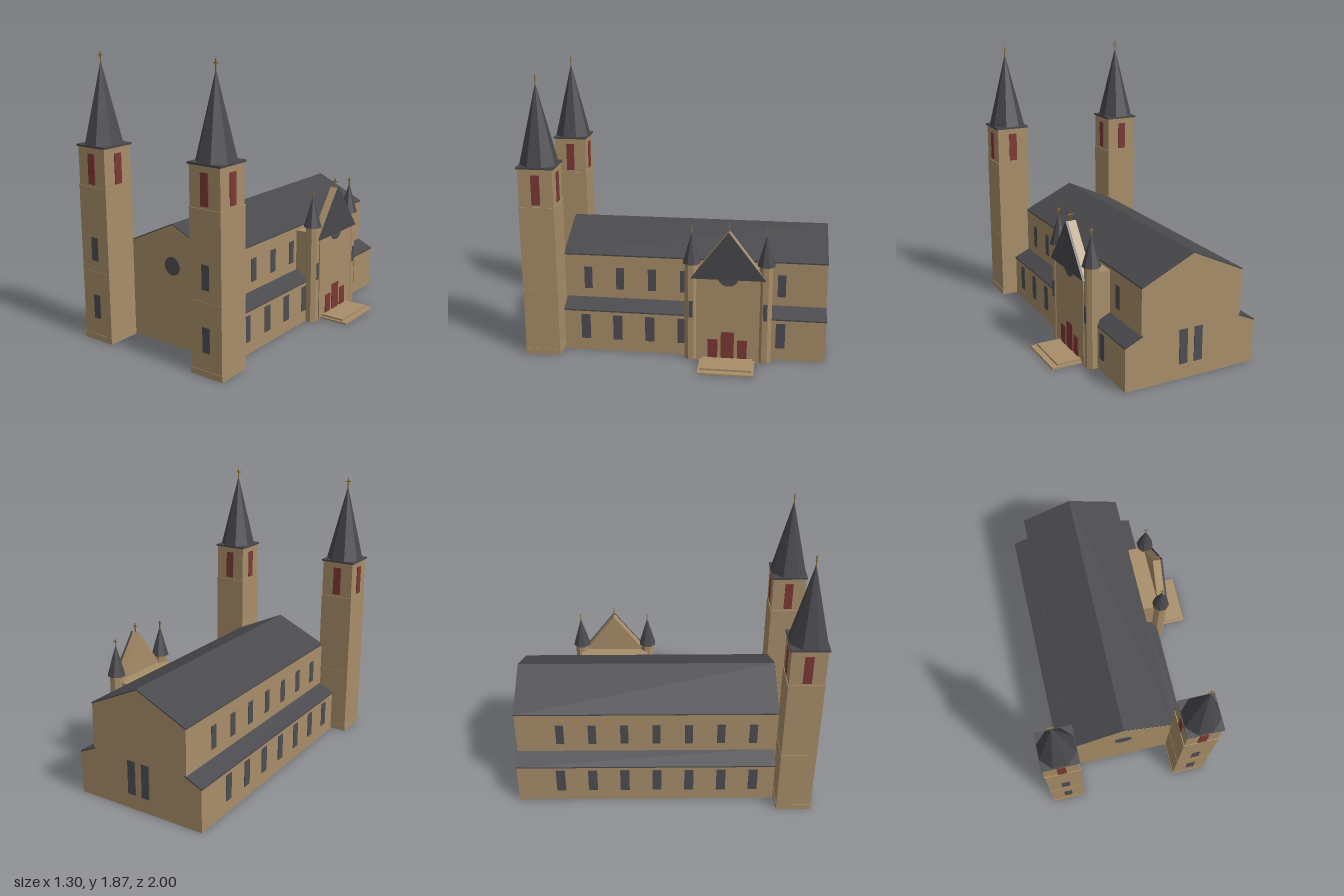
import * as THREE from 'three';

const material = (name, color) => {
  const m = new THREE.MeshStandardMaterial({ color });
  m.name = name;
  return m;
};

export function createModel() {
  const stone = material('sandstone', 0xa88e69);
  const slate = material('slate', 0x49484c);
  const glass = material('windowGlass', 0x4e4e53);
  const red = material('redWood', 0x7d3935);
  const gold = material('gold', 0x8f6f38);
  const model = new THREE.Group();
  model.name = 'church';
  const CX = -0.0785; // centre line of the nave

  const add = (parent, name, geo, mat, x = 0, y = 0, z = 0) => {
    const mesh = new THREE.Mesh(geo, mat);
    mesh.name = name;
    mesh.position.set(x, y, z);
    parent.add(mesh);
    return mesh;
  };
  // Box given by its minimum and maximum on each axis
  const box = (parent, name, mat, x0, x1, y0, y1, z0, z1) =>
    add(parent, name, new THREE.BoxGeometry(x1 - x0, y1 - y0, z1 - z0), mat,
      (x0 + x1) / 2, (y0 + y1) / 2, (z0 + z1) / 2);
  // Cross-section in x and y, extruded from z0 to z1
  const prism = (parent, name, mat, pts, z0, z1) => {
    const shape = new THREE.Shape(pts.map(p => new THREE.Vector2(p[0], p[1])));
    return add(parent, name, new THREE.ExtrudeGeometry(shape, { depth: z1 - z0, bevelEnabled: false }), mat, 0, 0, z0);
  };
  // Octagonal shaft or spire with flat sides facing the axes
  const octagon = (parent, name, mat, rTop, rBottom, y0, y1, x, z) => {
    const geo = new THREE.CylinderGeometry(rTop, rBottom, y1 - y0, 8).rotateY(Math.PI / 8).toNonIndexed();
    geo.computeVertexNormals();
    return add(parent, name, geo, mat, x, (y0 + y1) / 2, z);
  };
  const cross = (parent, x, y, z, h) => {
    const g = new THREE.Group();
    g.name = 'cross';
    g.position.set(x, y, z);
    parent.add(g);
    box(g, 'crossPost', gold, -0.003, 0.003, -0.01, h, -0.003, 0.003);
    box(g, 'crossBar', gold, -h * 0.28, h * 0.28, h * 0.6, h * 0.6 + 0.006, -0.003, 0.003);
  };

  // Nave with gabled roof
  const W = 0.3535, EAVE = 0.645, RIDGE = 0.81;
  prism(model, 'naveWalls', stone, [[CX - W, 0], [CX + W, 0], [CX + W, EAVE], [CX, RIDGE], [CX - W, EAVE]], -0.995, 0.77);
  const T = 0.007;
  prism(model, 'naveRoof', slate, [
    [CX - W - 0.002, EAVE - 0.002], [CX, RIDGE], [CX + W + 0.002, EAVE - 0.002],
    [CX + W + 0.002, EAVE + T], [CX, RIDGE + T], [CX - W - 0.002, EAVE + T]], -0.998, 0.768);

  // Side aisles with lean-to roofs and two rows of windows
  for (const s of [-1, 1]) {
    const inner = CX + s * (W - 0.01), outer = CX + s * 0.462;
    const order = pts => (s > 0 ? pts : pts.reverse());
    prism(model, 'aisleWalls', stone, order([[inner, 0], [outer, 0], [outer, 0.285], [inner, 0.338]]), -0.995, 0.75);
    prism(model, 'aisleRoof', slate, order([
      [inner, 0.338], [outer + s * 0.003, 0.283], [outer + s * 0.003, 0.292], [inner, 0.347]]), -0.998, 0.753);
    for (let i = 0; i < 7; i++) {
      const z = 0.605 - i * 0.2175;
      if (s > 0 && (i === 4 || i === 5)) continue; // covered by the porch
      const xl = CX + s * 0.462, xu = CX + s * W;
      box(model, 'aisleWindow', glass, xl - 0.004, xl + 0.004, 0.085, 0.26, z - 0.031, z + 0.031);
      box(model, 'clerestoryWindow', glass, xu - 0.004, xu + 0.004, 0.405, 0.56, z - 0.027, z + 0.027);
    }
  }

  // Rose window in front, pair of windows at the back
  add(model, 'roseWindow', new THREE.CylinderGeometry(0.061, 0.061, 0.008, 32).rotateX(Math.PI / 2), glass, CX, 0.54, 0.77);
  for (const s of [-1, 1]) {
    const x = CX + 0.005 + s * 0.053;
    box(model, 'backWindow', glass, x - 0.029, x + 0.029, 0.1, 0.33, -0.999, -0.991);
  }

  // Twin front towers
  for (const s of [-1, 1]) {
    const tower = new THREE.Group();
    tower.name = s > 0 ? 'leftTower' : 'rightTower';
    tower.position.set(CX + s * 0.4535, 0, 0.88);
    model.add(tower);
    const block = (name, mat, h, y0, y1) => box(tower, name, mat, -h, h, y0, y1, -h, h);
    block('towerPlinth', stone, 0.119, 0, 0.04);
    block('towerShaft', stone, 0.116, 0.04, 1.025);
    block('towerBand', stone, 0.118, 0.462, 0.472);
    block('towerLedge', stone, 0.118, 1.02, 1.032);
    block('belfry', stone, 0.113, 1.03, 1.285);
    block('spireBase', slate, 0.121, 1.283, 1.296);
    octagon(tower, 'spire', slate, 0.001, 0.127, 1.296, 1.81, 0, 0);
    cross(tower, 0, 1.805, 0, 0.065);
    for (let i = 0; i < 4; i++) {
      const side = new THREE.Group();
      side.name = 'belfrySide';
      side.rotation.y = i * Math.PI / 2;
      tower.add(side);
      box(side, 'belfryLouvre', red, -0.028, 0.028, 1.048, 1.245, 0.111, 0.119);
    }
    for (const [y0, y1] of [[0.155, 0.315], [0.547, 0.702]])
      box(tower, 'towerWindow', glass, -0.028, 0.028, y0, y1, 0.112, 0.119);
  }

  // Side porch
  const porch = new THREE.Group();
  porch.name = 'porch';
  porch.position.z = -0.355;
  model.add(porch);
  box(porch, 'porchBody', stone, 0.265, 0.41, 0, 0.625, -0.242, 0.242);
  box(porch, 'porchFront', stone, 0.40, 0.445, 0, 0.6, -0.207, 0.207);

  // Triangular gable: stone behind, slate facing in front
  const gable = (name, mat, x0, x1) => {
    const m = prism(porch, name, mat, [[-0.242, 0.585], [0.242, 0.585], [0, 0.902]], 0, x1 - x0);
    m.rotation.y = Math.PI / 2;
    m.position.x = x0;
  };
  gable('gableBack', stone, 0.395, 0.45);
  gable('gableFace', slate, 0.45, 0.466);
  cross(porch, 0.43, 0.90, 0, 0.065);
  add(porch, 'porchRoseWindow', new THREE.CylinderGeometry(0.07, 0.07, 0.008, 32).rotateZ(Math.PI / 2), glass, 0.445, 0.603, 0);

  // Corner turrets
  for (const s of [-1, 1]) {
    const z = s * 0.242;
    octagon(porch, 'turret', stone, 0.047, 0.047, 0, 0.675, 0.405, z);
    octagon(porch, 'turretSpire', slate, 0.001, 0.061, 0.673, 0.88, 0.405, z);
    cross(porch, 0.405, 0.877, z, 0.045);
    box(porch, 'turretWindow', glass, 0.445, 0.452, 0.305, 0.42, z - 0.013, z + 0.013);
  }

  // Doors and steps
  box(porch, 'mainDoor', red, 0.442, 0.45, 0.024, 0.21, -0.043, 0.043);
  for (const s of [-1, 1])
    box(porch, 'sideDoor', red, 0.442, 0.45, 0.024, 0.155, s * 0.097 - 0.032, s * 0.097 + 0.032);
  box(porch, 'lowerStep', stone, 0.42, 0.65, 0, 0.012, -0.182, 0.182);
  box(porch, 'upperStep', stone, 0.42, 0.61, 0.012, 0.025, -0.165, 0.165);

  return model;
}
